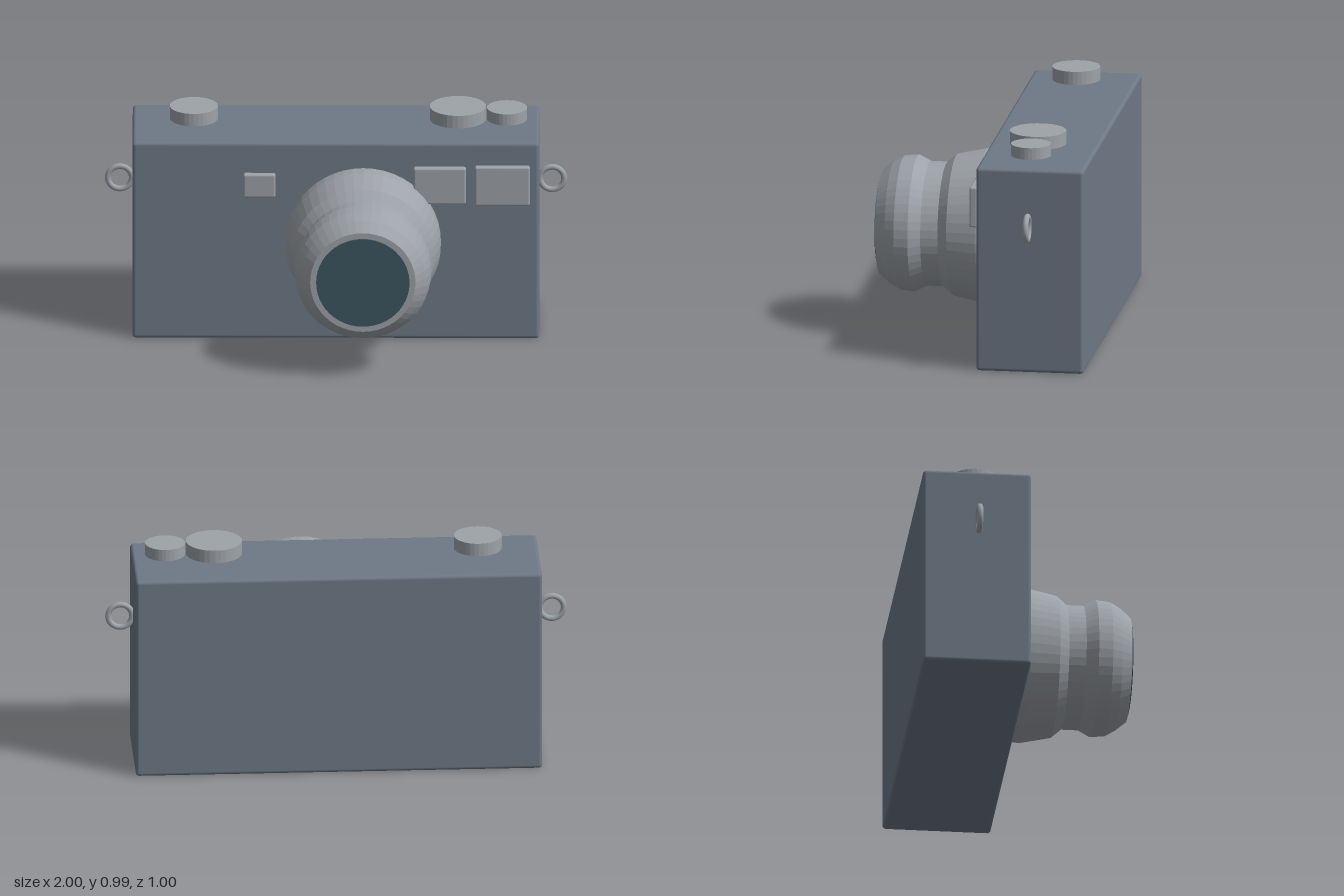
import * as THREE from 'three';
import { RoundedBoxGeometry } from 'three/addons/geometries/RoundedBoxGeometry.js';

const material = (name, color) => {
  const m = new THREE.MeshStandardMaterial({ color });
  m.name = name;
  return m;
};

// Split faces so each facet keeps its own normal
const faceted = (geometry) => {
  const g = geometry.toNonIndexed();
  g.computeVertexNormals();
  return g;
};

export function createModel() {
  const group = new THREE.Group();
  group.name = 'camera';
  const bodyPaint = material('slate body', 0x6e7986);
  const metal = material('silver metal', 0x9ea3a9);
  const glass = material('dark teal glass', 0x3c5761);

  const add = (name, geometry, mat, x, y, z) => {
    const mesh = new THREE.Mesh(geometry, mat);
    mesh.name = name;
    mesh.position.set(x, y, z);
    group.add(mesh);
    return mesh;
  };

  // Body
  add('body', new RoundedBoxGeometry(1.76, 0.905, 0.47, 3, 0.015), bodyPaint, 0, 0.4525, -0.262);

  // Lens barrel: radius and depth along its axis, closed at both ends
  const profile = [
    [0, -0.02], [0.335, -0.02], [0.335, 0.04], [0.308, 0.17], [0.27, 0.213], [0.27, 0.288],
    [0.297, 0.34], [0.291, 0.402], [0.267, 0.445], [0.228, 0.492], [0, 0.492],
  ].map(([r, z]) => new THREE.Vector2(r, z));
  const barrel = new THREE.LatheGeometry(profile, 48).rotateX(Math.PI / 2);
  add('lensBarrel', faceted(barrel), metal, 0.12, 0.457, 0);

  // Front glass, a thin disc proud of the barrel
  const disc = new THREE.CylinderGeometry(0.202, 0.202, 0.008, 48).rotateX(Math.PI / 2);
  add('lensGlass', disc, glass, 0.12, 0.457, 0.494);

  // Viewfinder windows: x, y, width, height
  [
    ['viewfinderWindow', 0.721, 0.717, 0.237, 0.178],
    ['rangefinderWindow', 0.45, 0.717, 0.226, 0.166],
    ['smallWindow', -0.33, 0.717, 0.138, 0.106],
  ].forEach(([name, x, y, w, h]) =>
    add(name, new RoundedBoxGeometry(w, h, 0.034, 2, 0.008), metal, x, y, -0.009));

  // Top dials, held just above the top plate: x, radius, height
  [
    ['rewindDial', -0.615, 0.104, 0.058],
    ['shutterDial', 0.528, 0.122, 0.058],
    ['advanceDial', 0.74, 0.087, 0.052],
  ].forEach(([name, x, r, h]) =>
    add(name, faceted(new THREE.CylinderGeometry(r, r, h, 32)), metal, x, 0.936 + h / 2, -0.248));

  // Strap rings on both sides
  for (const [name, side] of [['leftStrapRing', 1], ['rightStrapRing', -1]]) {
    add(name, new THREE.TorusGeometry(0.052, 0.013, 10, 32), metal, side * 0.935, 0.657, -0.259);
  }

  return group;
}
